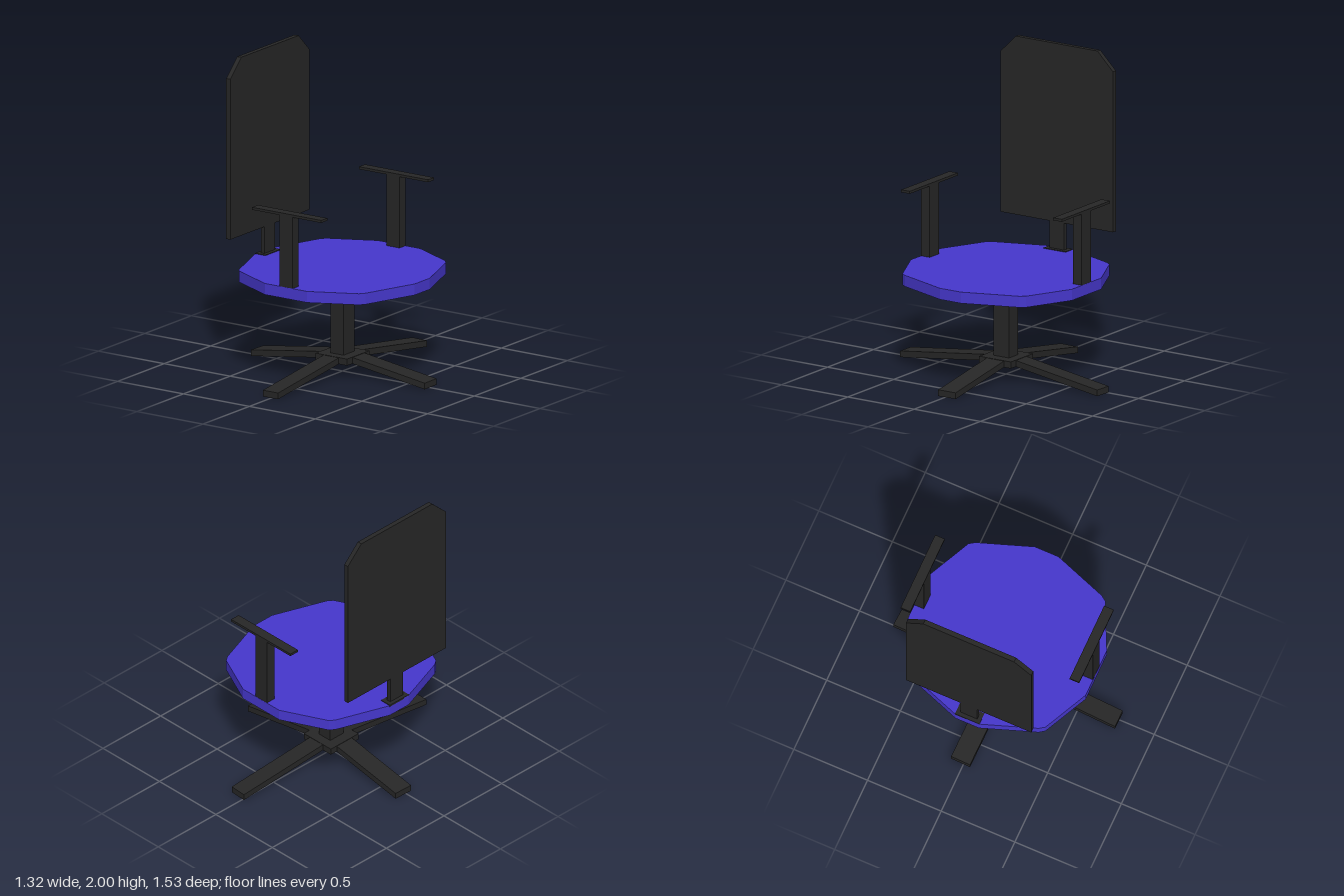
import * as THREE from 'three';
import { mergeGeometries } from 'three/addons/utils/BufferGeometryUtils.js';

export function createModel() {
  const group = new THREE.Group();
  const dark = new THREE.MeshStandardMaterial({ color: 0x262626, flatShading: true });
  const blue = new THREE.MeshStandardMaterial({ color: 0x4637cc, flatShading: true });

  const add = (name, geometry, material = dark) => {
    const mesh = new THREE.Mesh(geometry, material);
    mesh.name = name;
    group.add(mesh);
    return mesh;
  };

  // Box given by its lower and upper corners
  const box = (name, [x0, y0, z0], [x1, y1, z1]) =>
    add(name, new THREE.BoxGeometry(x1 - x0, y1 - y0, z1 - z0)
      .translate((x0 + x1) / 2, (y0 + y1) / 2, (z0 + z1) / 2));

  const rect = (Type, x0, x1, z0, z1) => new Type([
    new THREE.Vector2(x0, z0), new THREE.Vector2(x1, z0),
    new THREE.Vector2(x1, z1), new THREE.Vector2(x0, z1),
  ]);

  // Upturned tray: a rim of walls under a thin top plate, hollow from below
  const tray = (x0, x1, z0, z1, height, wall) => {
    const rim = rect(THREE.Shape, x0, x1, z0, z1);
    rim.holes.push(rect(THREE.Path, x0 + wall, x1 - wall, z0 + wall, z1 - wall));
    const walls = new THREE.ExtrudeGeometry(rim, { depth: height - 0.012, bevelEnabled: false });
    const plate = new THREE.ExtrudeGeometry(rect(THREE.Shape, x0, x1, z0, z1),
      { depth: 0.012, bevelEnabled: false }).translate(0, 0, height - 0.012);
    return mergeGeometries([walls, plate]).rotateX(-Math.PI / 2);
  };

  // Base hub
  add('baseHub', tray(-0.12, 0.12, -0.12, 0.12, 0.042, 0.02).translate(0, 0.081, 0));

  // Four sloping legs: name, tip x, tip z, width
  const legs = [
    ['leftLeg', 0.66, -0.012, 0.13],
    ['rightLeg', -0.66, -0.02, 0.13],
    ['frontLeg', -0.007, 0.763, 0.115],
    ['backLeg', 0.047, -0.763, 0.115],
  ];
  for (const [name, x, z, width] of legs) {
    const length = Math.hypot(x, z);
    const geometry = tray(0.11, length, -width / 2, width / 2, 0.04, 0.016);
    const pos = geometry.attributes.position;
    for (let i = 0; i < pos.count; i++) {
      pos.setY(i, pos.getY(i) + 0.082 * (length - pos.getX(i)) / (length - 0.11));
    }
    geometry.computeVertexNormals();
    add(name, geometry).rotation.y = Math.atan2(-z, x);
  }

  // Central column
  box('column', [-0.05, 0.09, -0.057], [0.05, 0.62, 0.06]);

  // Seat: faceted outline with a straight rim and a shallow cone underneath
  const quarter = [[0.605, 0.08], [0.48, 0.43], [0.455, 0.465], [0.16, 0.607]];
  const outline = [
    ...quarter,
    ...[...quarter].reverse().map(([x, z]) => [-x, z]),
    ...quarter.map(([x, z]) => [-x, -z]),
    ...[...quarter].reverse().map(([x, z]) => [x, -z]),
  ];
  const verts = [];
  outline.forEach(([ax, az], i) => {
    const [bx, bz] = outline[(i + 1) % outline.length];
    const top = 0.676, low = 0.604;
    verts.push(0, top, 0, bx, top, bz, ax, top, az);
    verts.push(ax, low, az, ax, top, az, bx, top, bz);
    verts.push(ax, low, az, bx, top, bz, bx, low, bz);
    verts.push(0, 0.586, 0, ax, low, az, bx, low, bz);
  });
  const seat = new THREE.BufferGeometry();
  seat.setAttribute('position', new THREE.Float32BufferAttribute(verts, 3));
  seat.computeVertexNormals();
  add('seat', seat, blue);

  // Backrest with its upright and foot plate, on the -x side
  const panel = new THREE.Shape([
    [-0.425, 0.853], [0.425, 0.853], [0.425, 1.885], [0.308, 2],
    [-0.308, 2], [-0.425, 1.885],
  ].map(([z, y]) => new THREE.Vector2(z, y)));
  add('backrest', new THREE.ExtrudeGeometry(panel, { depth: 0.031, bevelEnabled: false })
    .rotateY(Math.PI / 2).translate(-0.582, 0, 0));
  box('backUpright', [-0.58, 0.66, -0.055], [-0.553, 0.87, 0.057]);
  box('backFootPlate', [-0.605, 0.668, -0.083], [-0.527, 0.68, 0.083]);

  // Armrests
  for (const [side, s] of [['front', 1], ['back', -1]]) {
    const z0 = s > 0 ? 0.541 : -0.606, z1 = z0 + 0.065;
    box(side + 'ArmPost', [-0.05, 0.65, z0], [0.05, 1.14, z1]);
    box(side + 'ArmPad', [-0.258, 1.134, z0], [0.267, 1.15, z1]);
  }

  return group;
}
